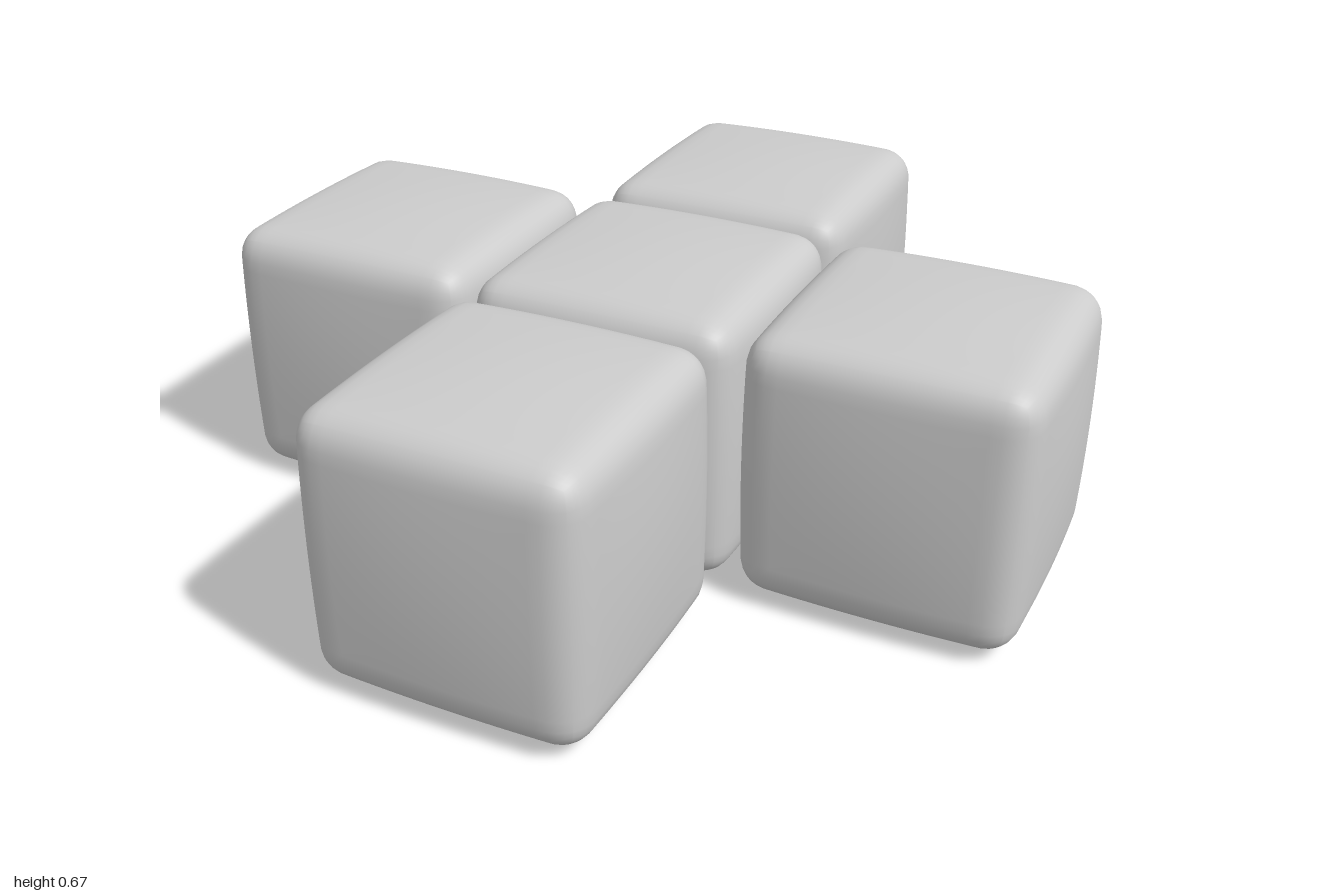
import * as THREE from 'three';
import { mergeVertices } from 'three/addons/utils/BufferGeometryUtils.js';

const HALF = 0.337;    // half size at the middle of a bulging face
const EDGE = 0.314;    // half size of the rounded box before bulging
const RADIUS = 0.07;   // edge rounding
const SPACING = 0.663; // distance between neighbouring cubes

// Rounded cube whose six faces swell gently outwards
function pillowCube() {
  const n = 24;
  let geo = new THREE.BoxGeometry(2, 2, 2, n, n, n);
  geo.deleteAttribute('uv');
  geo.deleteAttribute('normal');
  geo = mergeVertices(geo);
  const pos = geo.attributes.position;
  const p = new THREE.Vector3();
  const core = new THREE.Vector3();
  const inner = EDGE - RADIUS;
  const swell = HALF / EDGE - 1;
  const fall = (v) => Math.max(0, 1 - (v / HALF) ** 2);
  for (let i = 0; i < pos.count; i++) {
    p.fromBufferAttribute(pos, i);
    // gather the grid lines towards the edges
    p.set(...p.toArray().map((v) => EDGE * Math.sin(v * Math.PI / 2)));
    // round the edges and corners
    core.copy(p).clampScalar(-inner, inner);
    p.sub(core).setLength(RADIUS).add(core);
    // swell each axis by its distance from the other two edges
    const fx = fall(p.x), fy = fall(p.y), fz = fall(p.z);
    pos.setXYZ(i,
      p.x * (1 + swell * fy * fz),
      p.y * (1 + swell * fx * fz),
      p.z * (1 + swell * fx * fy));
  }
  geo.computeVertexNormals();
  return geo;
}

export function createModel() {
  const group = new THREE.Group();
  group.name = 'cubeCross';
  const material = new THREE.MeshStandardMaterial({ color: 0xcccccc });
  const geometry = pillowCube();

  // One cube in the middle and one on each side, forming a plus
  const places = {
    centerCube: [0, 0],
    leftCube: [1, 0],
    rightCube: [-1, 0],
    frontCube: [0, 1],
    backCube: [0, -1],
  };
  for (const [name, [x, z]] of Object.entries(places)) {
    const cube = new THREE.Mesh(geometry, material);
    cube.name = name;
    cube.position.set(x * SPACING, HALF, z * SPACING);
    group.add(cube);
  }
  return group;
}
